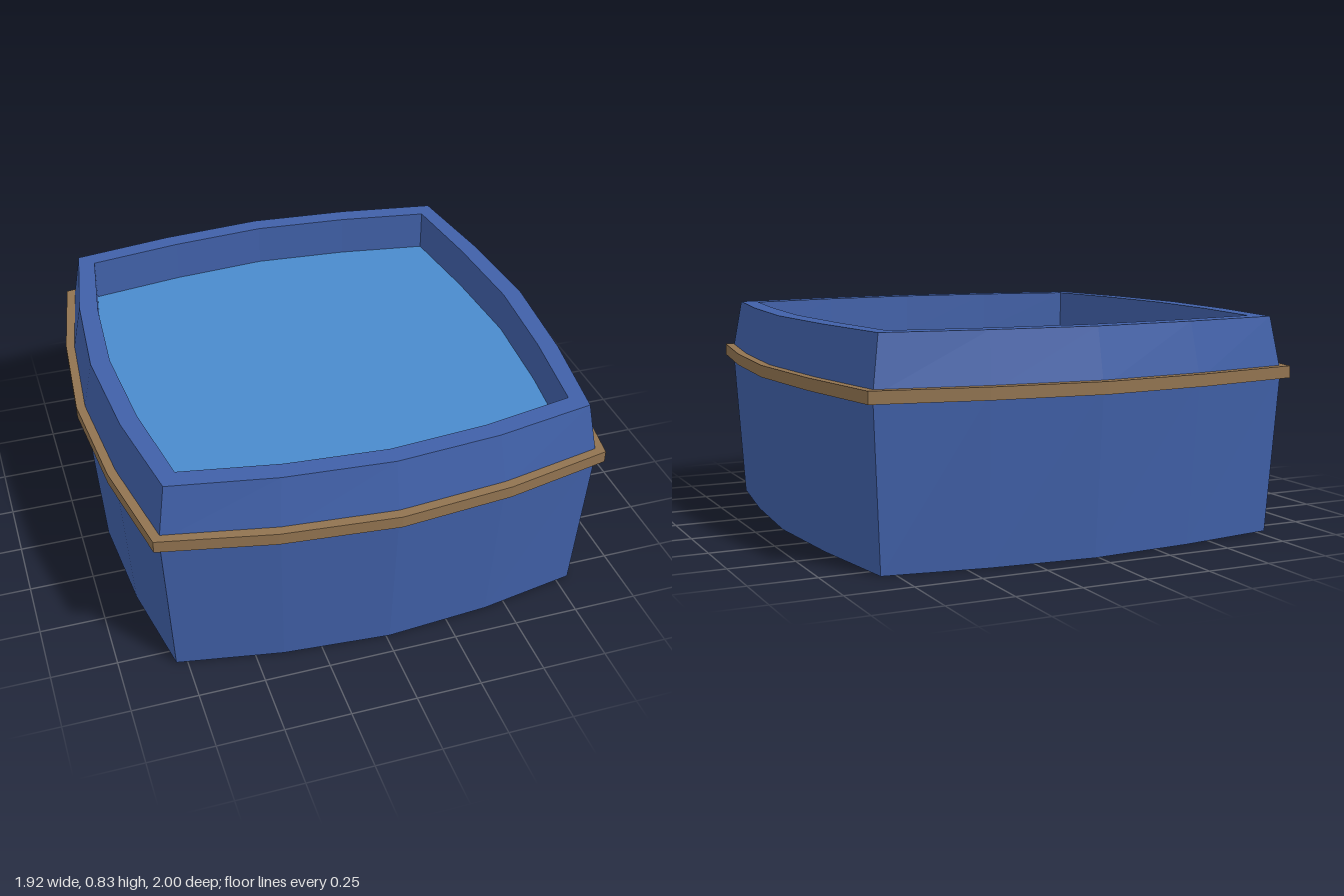
import * as THREE from 'three';

// Bulged square outline: each side bows from its corners (cx, cz) out to (mx, mz).
// Runs counter-clockwise seen from above.
function ring(y, mx, mz, cx, cz) {
  const qx = cx + (mx - cx) * 0.67, qz = cz + (mz - cz) * 0.67;
  const sx = 0.006, sz = -0.006; // slight hand-made skew of the corners
  const p = [
    [cx + sx, cz + sz], [qx, cz * 0.51], [mx, 0], [qx, -cz * 0.51],
    [cx + sx, -cz + sz], [cx * 0.51 + 0.012, -qz], [0.014, -mz], [-cx * 0.51 + 0.012, -qz],
    [-cx + sx, -cz + sz], [-qx, -cz * 0.51], [-mx, 0], [-qx, cz * 0.51],
    [-cx + sx, cz + sz], [-cx * 0.51 + 0.012, qz], [0.014, mz], [cx * 0.51 + 0.012, qz],
  ];
  return p.map(([x, z]) => [x, y, z]);
}

function toMesh(name, positions, color) {
  const geo = new THREE.BufferGeometry();
  geo.setAttribute('position', new THREE.Float32BufferAttribute(positions.flat(), 3));
  geo.computeVertexNormals();
  const mesh = new THREE.Mesh(geo, new THREE.MeshStandardMaterial({ color, flatShading: true }));
  mesh.name = name;
  return mesh;
}

// Quads between consecutive outlines
function loft(rings) {
  const out = [];
  for (let k = 0; k < rings.length - 1; k++) {
    const a = rings[k], b = rings[k + 1], n = a.length;
    for (let i = 0; i < n; i++) {
      const j = (i + 1) % n;
      out.push(a[i], a[j], b[j], a[i], b[j], b[i]);
    }
  }
  return out;
}

// Flat fan filling an outline
function cap(r, up) {
  const c = [0, r[0][1], 0], out = [];
  r.forEach((p, i) => {
    const q = r[(i + 1) % r.length];
    out.push(...(up ? [c, p, q] : [c, q, p]));
  });
  return out;
}

export function createModel() {
  const model = new THREE.Group();
  model.name = 'tub';
  const floorY = 0.67;

  // Tub body: flared wall, inward-leaning collar, flat rim and upright inner wall
  const base = ring(0, 0.89, 0.917, 0.797, 0.82);
  const body = [
    base,
    ring(0.625, 0.933, 0.965, 0.83, 0.85),
    ring(0.835, 0.89, 0.92, 0.797, 0.82),
    ring(0.835, 0.815, 0.845, 0.741, 0.753),
    ring(floorY, 0.815, 0.845, 0.741, 0.753),
  ];
  model.add(toMesh('tubBody', [...loft(body), ...cap(base, false)], 0x4060a8));

  // Water surface inside the rim
  model.add(toMesh('waterSurface', cap(body[4], true), 0x4a8bcc));

  // Band around the widest part
  const outer = [0.962, 1.0, 0.856, 0.876], inner = [0.915, 0.945, 0.815, 0.835];
  const band = [
    ring(0.602, ...inner), ring(0.602, ...outer),
    ring(0.648, ...outer), ring(0.648, ...inner), ring(0.602, ...inner),
  ];
  model.add(toMesh('band', loft(band), 0x917350));

  return model;
}
